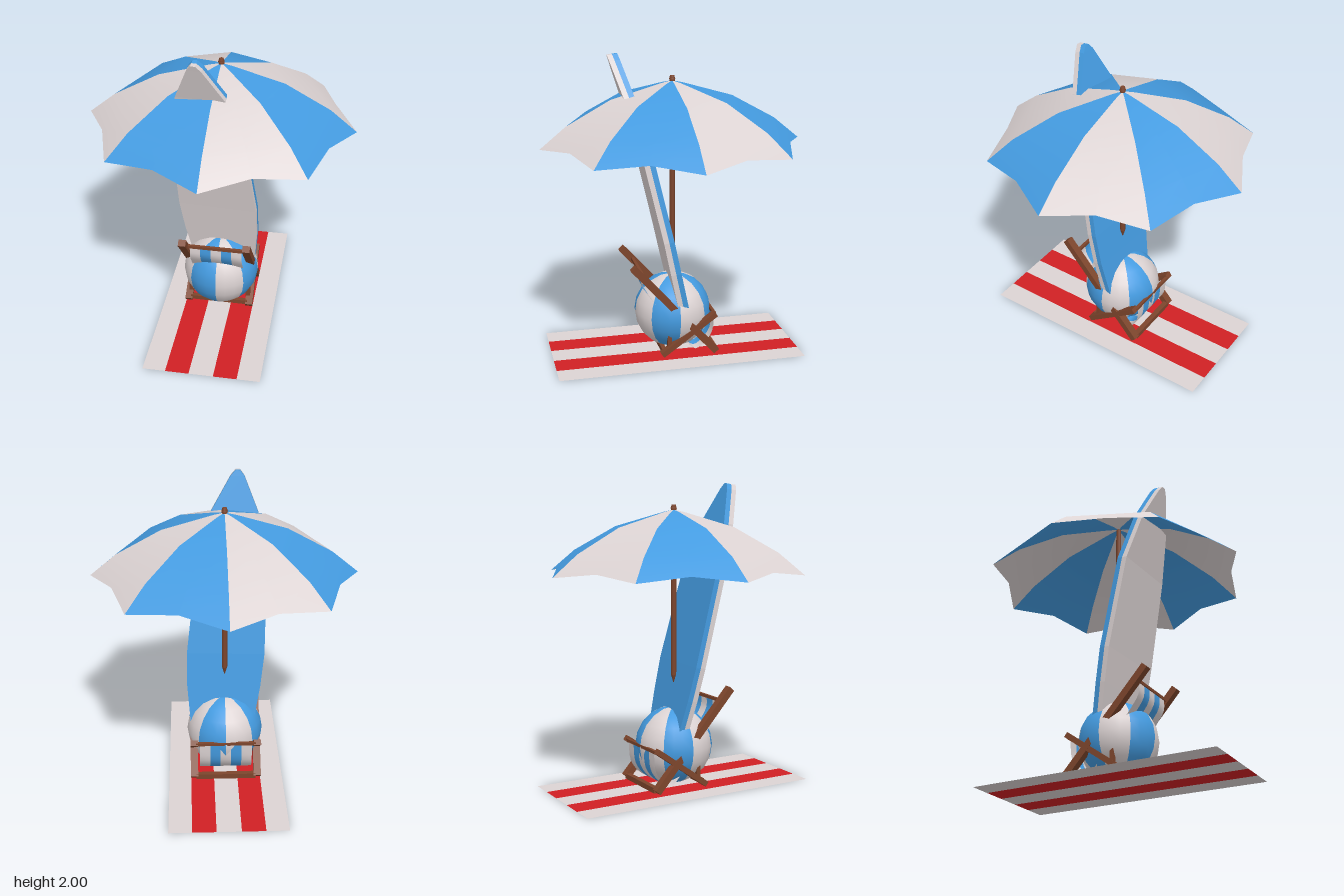
import * as THREE from 'three';

const paint = (color) => new THREE.MeshStandardMaterial({ color, side: THREE.DoubleSide });
const blue = paint(0x449be0), white = paint(0xdcd3d3), wood = paint(0x7d452c), red = paint(0xd02024);
const V = (x, y, z) => new THREE.Vector3(x, y, z);

function add(parent, name, geometry, material, x = 0, y = 0, z = 0) {
  const mesh = new THREE.Mesh(geometry, material);
  mesh.name = name;
  mesh.position.set(x, y, z);
  parent.add(mesh);
  return mesh;
}

function addGroup(parent, name) {
  const group = new THREE.Group();
  group.name = name;
  parent.add(group);
  return group;
}

// Skin over rows of points; closed rows form a capped four-sided solid.
function skin(rows, closed = false) {
  const n = rows[0].length, index = [];
  for (let r = 0; r < rows.length - 1; r++) {
    for (let i = 0; i < (closed ? n : n - 1); i++) {
      const a = r * n + i, b = r * n + (i + 1) % n;
      index.push(a, b, b + n, a, b + n, a + n);
    }
  }
  if (closed) {
    const t = (rows.length - 1) * n;
    index.push(0, 2, 1, 0, 3, 2, t, t + 1, t + 2, t, t + 2, t + 3);
  }
  let g = new THREE.BufferGeometry().setFromPoints(rows.flat());
  g.setIndex(index);
  if (closed) g = g.toNonIndexed();
  g.computeVertexNormals();
  return g;
}

// Umbrella: eight panels with scalloped rims on a pointed pole
function addUmbrella(root) {
  const umbrella = addGroup(root, 'umbrella');
  const rib = [[0.86, 1.42], [0.69, 1.56], [0.40, 1.72], [0.07, 1.815], [0.001, 1.83]];
  for (let i = 0; i < 8; i++) {
    const rows = rib.map(([r, y], k) => [2, 1, 0].map((j) => {
      const a = (i + j / 2) * Math.PI / 4;
      const mid = j === 1;
      const rr = mid ? r * (k === 0 ? 0.886 : 0.924) : r;
      return V(rr * Math.cos(a), mid && k === 0 ? 1.455 : y, rr * Math.sin(a));
    }));
    add(umbrella, 'canopyPanel', skin(rows), i % 2 ? white : blue);
  }
  add(umbrella, 'pole', new THREE.CylinderGeometry(0.018, 0.018, 1.11, 8), wood, 0, 1.295, 0);
  add(umbrella, 'poleTip', new THREE.CylinderGeometry(0.018, 0.003, 0.05, 8), wood, 0, 0.715, 0);
  add(umbrella, 'poleCap', new THREE.CylinderGeometry(0.014, 0.021, 0.025, 8), wood, 0, 1.85, 0);
}

// Surfboard: two lofted layers, leaning and slightly twisted
function addSurfboard(root) {
  const board = addGroup(root, 'surfboard');
  // height, centre x, half width, centre z
  const sections = [
    [0.32, 0.02, 0.21, -0.045], [0.6, 0.005, 0.247, 0.015], [0.82, -0.01, 0.26, 0.06],
    [1.42, -0.055, 0.232, 0.195], [1.74, -0.075, 0.155, 0.285],
    [1.96, -0.097, 0.045, 0.358], [1.995, -0.1, 0.015, 0.37]];
  const yaw = 0.06;
  const layer = (front, back) => skin(sections.map(([y, x, w, z]) =>
    [[-w, front], [w, front], [w, back], [-w, back]].map(([dx, d]) =>
      V(x + dx - yaw * d, y - 0.15 * d, z + d + yaw * dx))), true);
  add(board, 'boardDeck', layer(0.034, 0), white);
  add(board, 'boardUnderside', layer(0, -0.034), blue);
}

// Beach ball: eight alternating wedges
function addBall(root) {
  const ball = addGroup(root, 'beachBall');
  for (let i = 0; i < 8; i++) {
    const wedge = new THREE.SphereGeometry(0.257, 2, 10, Math.PI - (i + 1) * Math.PI / 4, Math.PI / 4);
    add(ball, 'ballWedge', wedge, i % 2 ? white : blue, 0, 0.272, 0);
  }
}

// Deck chair: crossed side rails, cross bars and a striped sling
function addChair(root) {
  const chair = addGroup(root, 'deckChair');
  const rail = (name, x, [z1, y1], [z2, y2], width, depth) => {
    const dz = z2 - z1, dy = y2 - y1;
    const mesh = add(chair, name, new THREE.BoxGeometry(width, Math.hypot(dz, dy), depth), wood,
      x, (y1 + y2) / 2, (z1 + z2) / 2);
    mesh.rotation.x = Math.atan2(dz, dy);
  };
  for (const s of [-1, 1]) {
    rail('backRail', s * 0.213, [-0.252, 0.028], [0.308, 0.655], 0.05, 0.045);
    rail('seatRail', s * 0.212, [0.118, 0.032], [-0.248, 0.295], 0.05, 0.036);
    rail('strut', s * 0.2, [0.065, 0.065], [0.065, 0.16], 0.03, 0.025);
  }
  const bars = [[0.235, 0.58, 0.02], [0.1, 0.05, 0.03], [-0.245, 0.035, 0.035], [-0.245, 0.285, 0.02]];
  for (const [z, y, d] of bars) {
    add(chair, 'crossBar', new THREE.BoxGeometry(0.4, d, d), wood, 0, y, z);
  }
  const sag = new THREE.CatmullRomCurve3([[0.238, 0.585], [0.235, 0.5], [0.17, 0.4], [0.05, 0.24],
    [-0.06, 0.09], [-0.12, 0.035], [-0.18, 0.07], [-0.235, 0.15], [-0.25, 0.285]]
    .map(([z, y]) => V(0, y, z))).getPoints(24);
  for (let i = 0; i < 5; i++) {
    const x = -0.175 + i * 0.07;
    const rows = sag.map((p) => [V(x, p.y, p.z), V(x + 0.07, p.y, p.z)]);
    add(chair, 'slingStripe', skin(rows), i % 2 ? blue : white);
  }
}

// Towel: flat lengthwise stripes
function addTowel(root) {
  const towel = addGroup(root, 'towel');
  const edges = [-0.385, -0.235, -0.08, 0.08, 0.235, 0.385];
  for (let i = 0; i < 5; i++) {
    const strip = new THREE.PlaneGeometry(edges[i + 1] - edges[i], 1.65).rotateX(-Math.PI / 2);
    add(towel, 'towelStripe', strip, i % 2 ? red : white, (edges[i] + edges[i + 1]) / 2, 0, 0);
  }
}

export function createModel() {
  const root = new THREE.Group();
  root.name = 'beachSet';
  for (const build of [addUmbrella, addSurfboard, addBall, addChair, addTowel]) build(root);
  return root;
}
